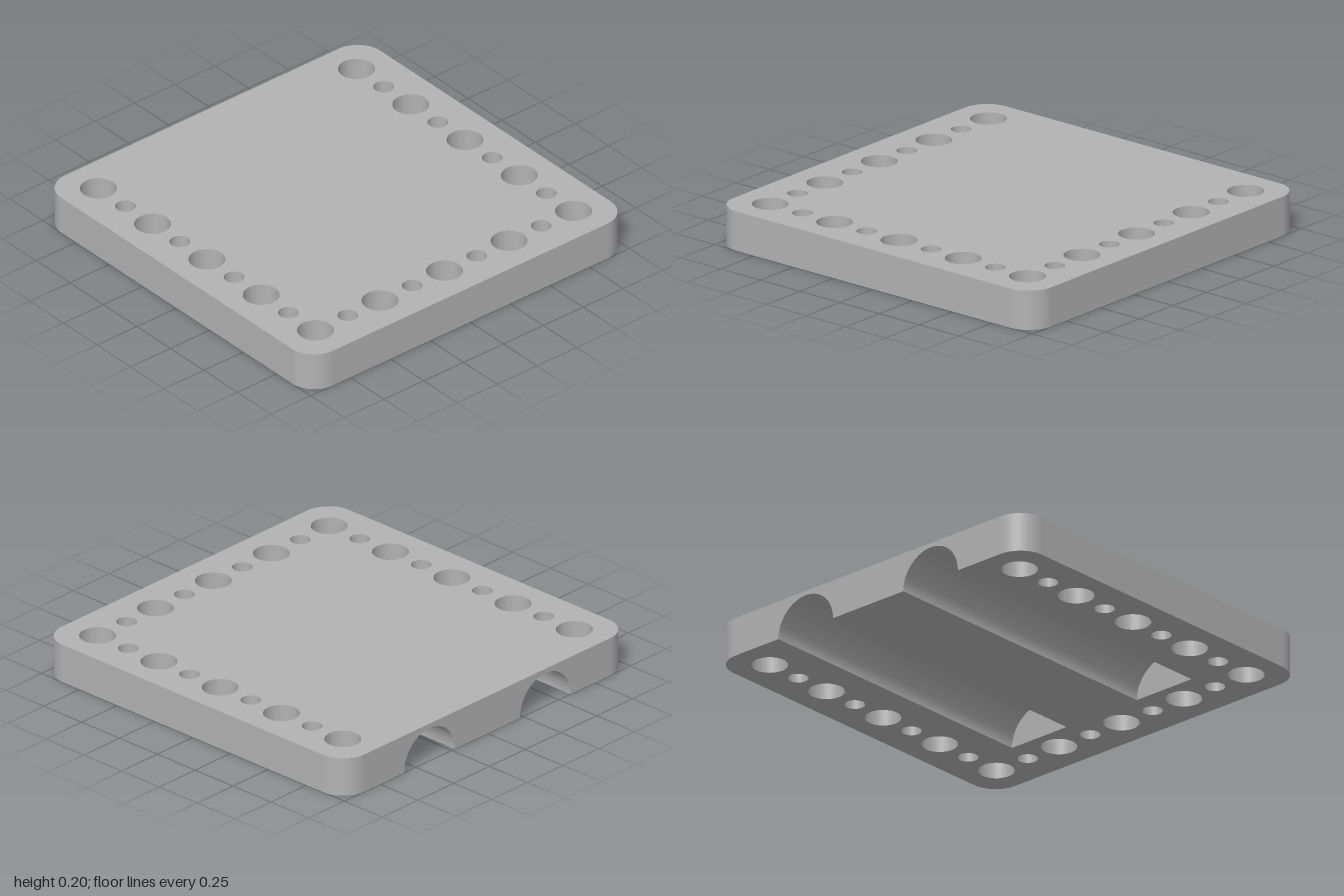
import * as THREE from 'three';

const H = 0.2, CORNER = 0.14, PITCH = 0.405;
const BIG = 0.089, SMALL = 0.05;
const GROOVE_R = 0.177, GROOVE_END = 0.67, GROOVES = [-PITCH, PITCH];

// Turn a surface inside out
function flip(geo) {
  const i = geo.index.array, n = geo.attributes.normal.array;
  for (let k = 0; k < i.length; k += 3) [i[k], i[k + 1]] = [i[k + 1], i[k]];
  for (let k = 0; k < n.length; k++) n[k] = -n[k];
  return geo;
}

// Alternating big and small holes along the left, right and front edges
function holeList() {
  const list = [];
  for (let i = -4; i <= 4; i++) {
    const t = i * PITCH / 2, r = i % 2 ? SMALL : BIG;
    list.push([-2 * PITCH, t, r], [2 * PITCH, t, r]);
    if (Math.abs(i) < 4) list.push([t, 2 * PITCH, r]);
  }
  return list;
}

// Plate outline in x and z, optionally notched where the grooves open
function outline(holes, notched) {
  const s = new THREE.Shape(), b = 1 - CORNER, q = Math.PI / 2;
  s.moveTo(-b, -1);
  if (notched) for (const c of GROOVES) {
    s.lineTo(c - GROOVE_R, -1);
    s.lineTo(c - GROOVE_R, GROOVE_END);
    s.lineTo(c + GROOVE_R, GROOVE_END);
    s.lineTo(c + GROOVE_R, -1);
  }
  s.lineTo(b, -1);
  s.absarc(b, -b, CORNER, -q, 0, false);
  s.absarc(b, b, CORNER, 0, q, false);
  s.absarc(-b, b, CORNER, q, 2 * q, false);
  s.absarc(-b, -b, CORNER, 2 * q, 3 * q, false);
  for (const [x, z, r] of holes) {
    s.holes.push(new THREE.Path().absarc(x, z, r, 0, Math.PI * 2, true));
  }
  return new THREE.ShapeGeometry(s, 16).rotateX(Math.PI / 2);
}

export function createModel() {
  const model = new THREE.Group();
  model.name = 'drilledPlate';
  const grey = new THREE.MeshStandardMaterial({ color: 0xb2b2b2 });
  grey.name = 'grey';
  const add = (name, geo, x = 0, y = 0, z = 0) => {
    const mesh = new THREE.Mesh(geo, grey);
    mesh.name = name;
    mesh.position.set(x, y, z);
    model.add(mesh);
  };
  const holes = holeList(), b = 1 - CORNER;

  // Top and underside
  add('topFace', flip(outline(holes, false)), 0, H, 0);
  add('underside', outline(holes, true));

  // Straight outer walls
  const wall = (angle) => new THREE.PlaneGeometry(2 * b, H).rotateY(angle);
  add('frontWall', wall(0), 0, H / 2, 1);
  add('leftWall', wall(Math.PI / 2), 1, H / 2, 0);
  add('rightWall', wall(-Math.PI / 2), -1, H / 2, 0);

  // Back wall with the arched groove openings
  const back = new THREE.Shape();
  back.moveTo(-b, 0);
  for (const c of GROOVES) {
    back.lineTo(c - GROOVE_R, 0);
    back.absarc(c, 0, GROOVE_R, Math.PI, 0, true);
  }
  back.lineTo(b, 0);
  back.lineTo(b, H);
  back.lineTo(-b, H);
  add('backWall', new THREE.ShapeGeometry(back, 32).rotateY(Math.PI), 0, 0, -1);

  // Rounded vertical corners
  for (let k = 0; k < 4; k++) {
    const start = k * Math.PI / 2, mid = start + Math.PI / 4;
    add('roundedCorner',
      new THREE.CylinderGeometry(CORNER, CORNER, H, 16, 1, true, start, Math.PI / 2),
      Math.sign(Math.sin(mid)) * b, H / 2, Math.sign(Math.cos(mid)) * b);
  }

  // Bores of the through holes
  for (const [x, z, r] of holes) {
    add('holeBore', flip(new THREE.CylinderGeometry(r, r, H, 32, 1, true)), x, H / 2, z);
  }

  // Half-round grooves, closed at the front end
  const length = GROOVE_END + 1;
  for (const c of GROOVES) {
    const groove = new THREE.CylinderGeometry(GROOVE_R, GROOVE_R, length, 32, 1, true, Math.PI / 2, Math.PI);
    add('groove', flip(groove.rotateX(Math.PI / 2)), c, 0, GROOVE_END - length / 2);
    add('grooveEnd', new THREE.CircleGeometry(GROOVE_R, 32, 0, Math.PI).rotateY(Math.PI), c, 0, GROOVE_END);
  }
  return model;
}
